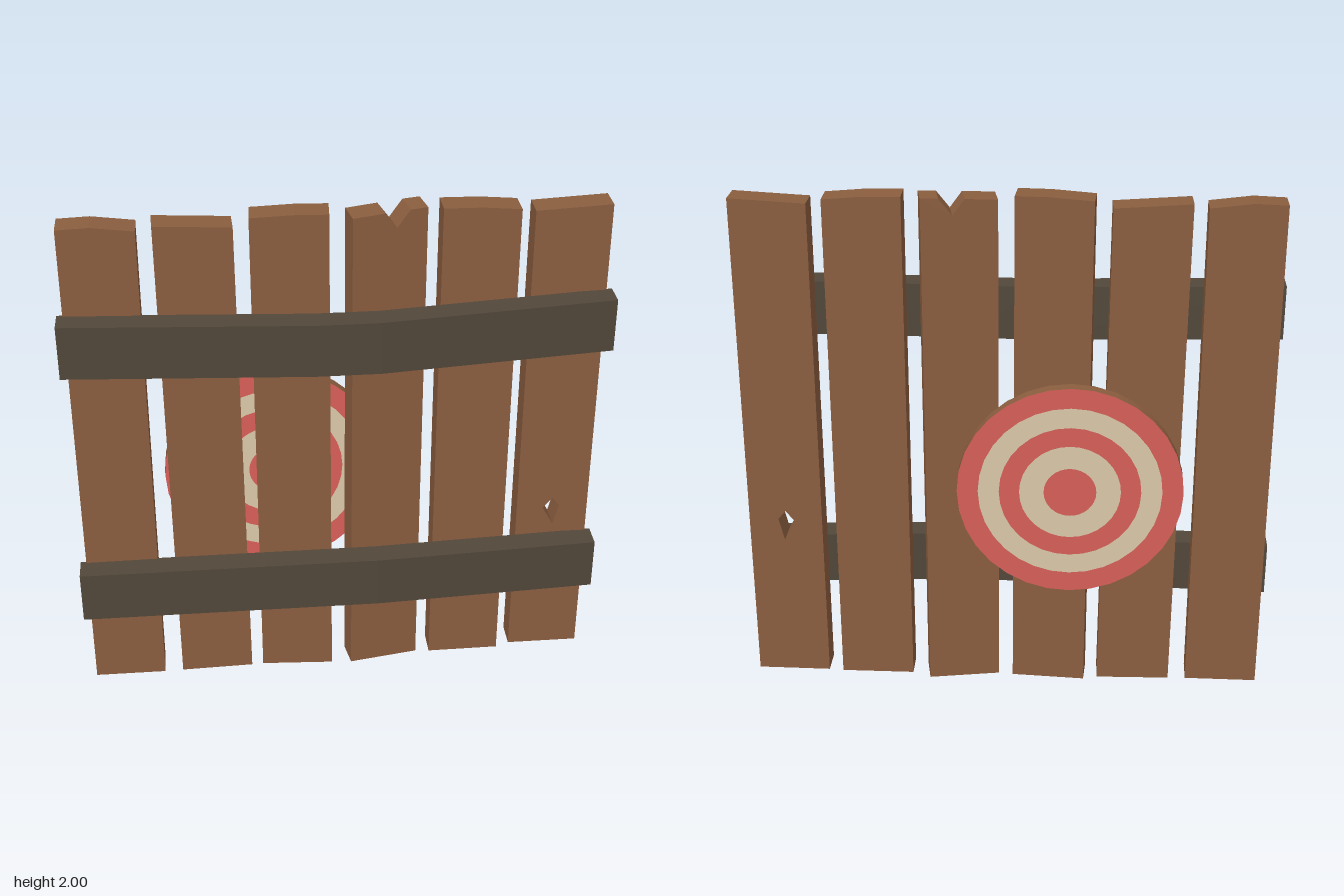
import * as THREE from 'three';

const mat = (name, color, extra = {}) => {
  const m = new THREE.MeshStandardMaterial({ color, ...extra });
  m.name = name;
  return m;
};

// Extrude an outline of [x, y] points, centred on its thickness
function slab(points, depth, hole) {
  const toV = (list) => list.map(([x, y]) => new THREE.Vector2(x, y));
  const shape = new THREE.Shape(toV(points));
  if (hole) shape.holes.push(new THREE.Path(toV(hole)));
  const g = new THREE.ExtrudeGeometry(shape, { depth, bevelEnabled: false });
  return g.translate(0, 0, -depth / 2);
}

export function createModel() {
  const wood = mat('plankBrown', 0x8b5e3f);
  const dark = mat('railDarkBrown', 0x52473a);
  const red = mat('targetRed', 0xd95f59);
  const cream = mat('targetCream', 0xdbc9aa);

  const model = new THREE.Group();
  model.name = 'fenceWithTarget';
  const fence = new THREE.Group();
  fence.name = 'fence';
  fence.rotation.y = Math.PI / 6;
  model.add(fence);

  // Planks: centre, yaw in degrees, foot height, sideways foot shift, top edge from left to right
  const planks = [
    { x: -0.866, z: -0.041, yaw: 0, foot: 0.005, shift: 0, top: [[-0.14, 1.98], [-0.02, 1.985], [0.14, 1.965]] },
    { x: -0.527, z: -0.048, yaw: 1.8, foot: 0.005, shift: 0.015, top: [[-0.143, 1.98], [0.143, 1.962]] },
    { x: -0.18, z: -0.055, yaw: -3.2, foot: 0, shift: 0.004, top: [[-0.143, 1.99], [0.02, 2], [0.143, 2]] },
    {
      x: 0.172, z: -0.065, yaw: 10, foot: 0, shift: 0,
      top: [[-0.14, 1.983], [-0.02, 1.99], [0.025, 1.93], [0.075, 1.995], [0.14, 1.997]],
    },
    { x: 0.515, z: -0.073, yaw: 0.5, foot: 0.01, shift: 0, top: [[-0.143, 1.997], [0, 1.995], [0.143, 1.983]] },
    {
      x: 0.853, z: -0.085, yaw: 0, foot: 0.02, shift: 0, top: [[-0.142, 1.97], [0.142, 1.985]],
      hole: [[-0.037, 0.69], [0.0, 0.735], [0.029, 0.7], [0.008, 0.61]],
    },
  ];
  planks.forEach((p, i) => {
    const half = p.top[p.top.length - 1][0];
    const outline = [[-half + p.shift, p.foot], [half + p.shift, p.foot], ...[...p.top].reverse()];
    const plank = new THREE.Mesh(slab(outline, 0.105, p.hole), wood);
    plank.name = 'plank' + (i + 1);
    plank.position.set(p.x, 0, p.z);
    plank.rotation.y = THREE.MathUtils.degToRad(p.yaw);
    fence.add(plank);
  });

  // Rails: boxes whose cross-sections follow a bent centre line of [x, y, z]
  const bentRail = (name, path) => {
    const g = new THREE.BoxGeometry(1, 0.208, 0.1, path.length - 1, 1, 1);
    const pos = g.attributes.position;
    for (let i = 0; i < pos.count; i++) {
      const [x, y, z] = path[Math.round((pos.getX(i) + 0.5) * (path.length - 1))];
      pos.setXYZ(i, x, y + pos.getY(i), z + pos.getZ(i));
    }
    const flat = g.toNonIndexed();
    flat.computeVertexNormals();
    const rail = new THREE.Mesh(flat, dark);
    rail.name = name;
    fence.add(rail);
  };
  bentRail('upperRail', [[-1.028, 1.542, 0.053], [-0.1, 1.515, 0.065], [0.14, 1.517, 0.068], [1.017, 1.542, 0.01]]);
  bentRail('lowerRail', [[-1.028, 0.462, 0.053], [0.14, 0.475, 0.068], [1.017, 0.469, 0.01]]);

  // Round target hung behind the planks, ringed on both faces
  const target = new THREE.Group();
  target.name = 'target';
  target.position.set(-0.25, 0.87, -0.156);
  target.rotation.set(-0.02, 0.028, 0);
  fence.add(target);

  const thickness = 0.045;
  const rim = new THREE.Mesh(new THREE.CylinderGeometry(0.43, 0.43, thickness, 32, 1, true).rotateX(Math.PI / 2), wood);
  rim.name = 'targetRim';
  target.add(rim);

  const radii = [0, 0.1, 0.193, 0.27, 0.35, 0.43];
  for (const side of [1, -1]) {
    for (let i = 0; i < 5; i++) {
      const g = i === 0 ? new THREE.CircleGeometry(radii[1], 32) : new THREE.RingGeometry(radii[i], radii[i + 1], 32);
      if (side < 0) g.rotateY(Math.PI);
      const ring = new THREE.Mesh(g, i % 2 ? cream : red);
      ring.name = (side > 0 ? 'front' : 'back') + 'Ring' + (i + 1);
      ring.position.z = side * thickness / 2;
      target.add(ring);
    }
  }
  return model;
}
